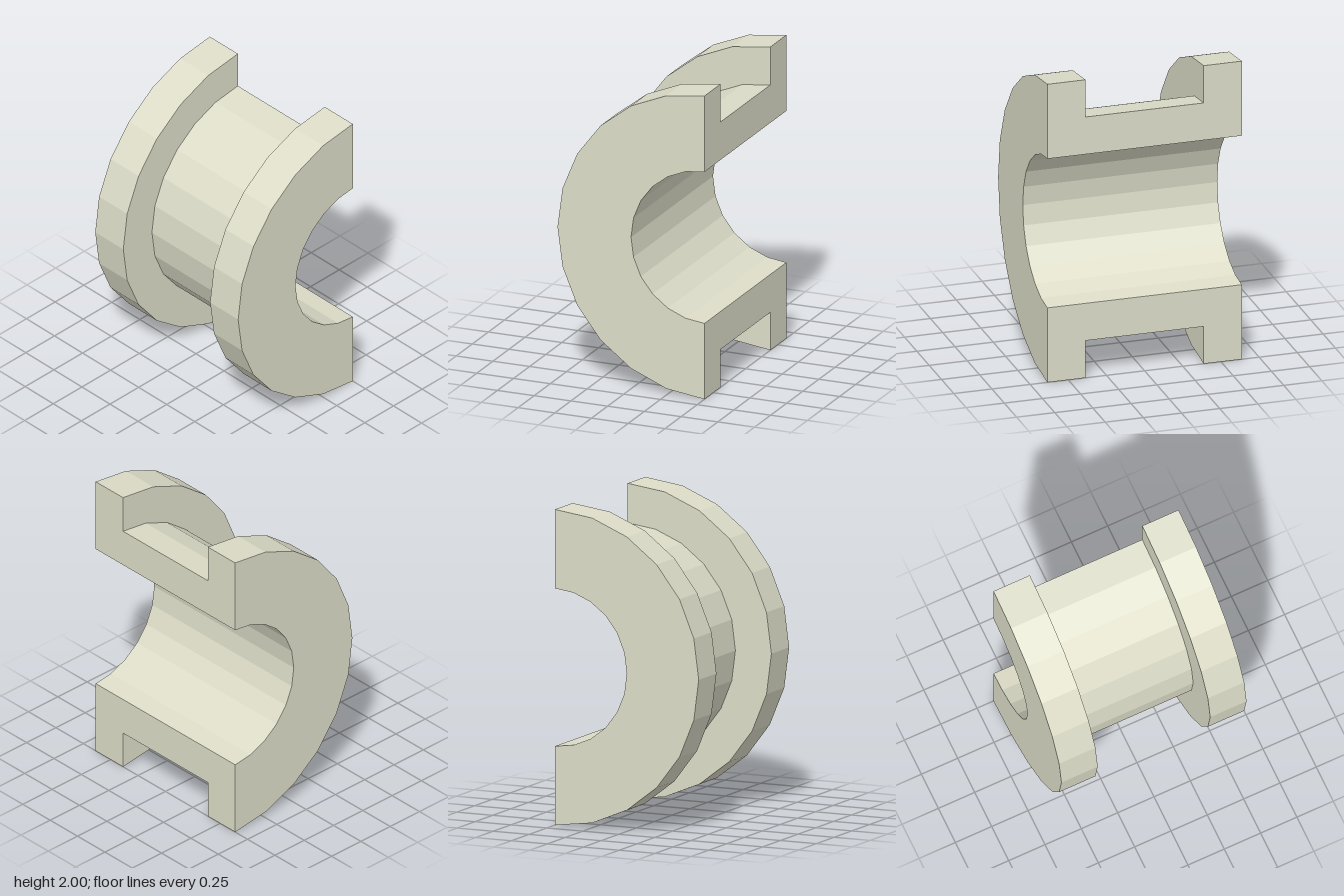
import * as THREE from 'three';

const BORE = 0.5, HUB = 0.75, RIM = 1; // radii
const END = 0.637, INNER = 0.387;      // flange outer and inner faces along the axis

export function createModel() {
  const model = new THREE.Group();
  model.name = 'halfBushing';
  const material = new THREE.MeshStandardMaterial({ color: 0xdcdcc8, flatShading: true });

  // Closed cross-section (radius, axial position), counter-clockwise
  const profile = [
    [BORE, -END], [RIM, -END], [RIM, -INNER], [HUB, -INNER],
    [HUB, INNER], [RIM, INNER], [RIM, END], [BORE, END],
  ].map(([r, a]) => new THREE.Vector2(r, a));

  function add(name, geometry) {
    geometry.rotateZ(Math.PI / 2); // lay the axis along x
    geometry.translate(0, RIM, -0.5);
    const mesh = new THREE.Mesh(geometry, material);
    mesh.name = name;
    model.add(mesh);
  }

  // Half-turn flanged sleeve: rims, hub, end faces and bore
  add('flangedSleeve', new THREE.LatheGeometry([...profile, profile[0]], 12, -Math.PI / 2, Math.PI));

  // Flat cut faces closing the split plane, both facing back
  const section = new THREE.Shape(profile);
  add('upperCutFace', new THREE.ShapeGeometry(section).rotateX(Math.PI));
  add('lowerCutFace', new THREE.ShapeGeometry(section).rotateY(Math.PI));

  return model;
}
